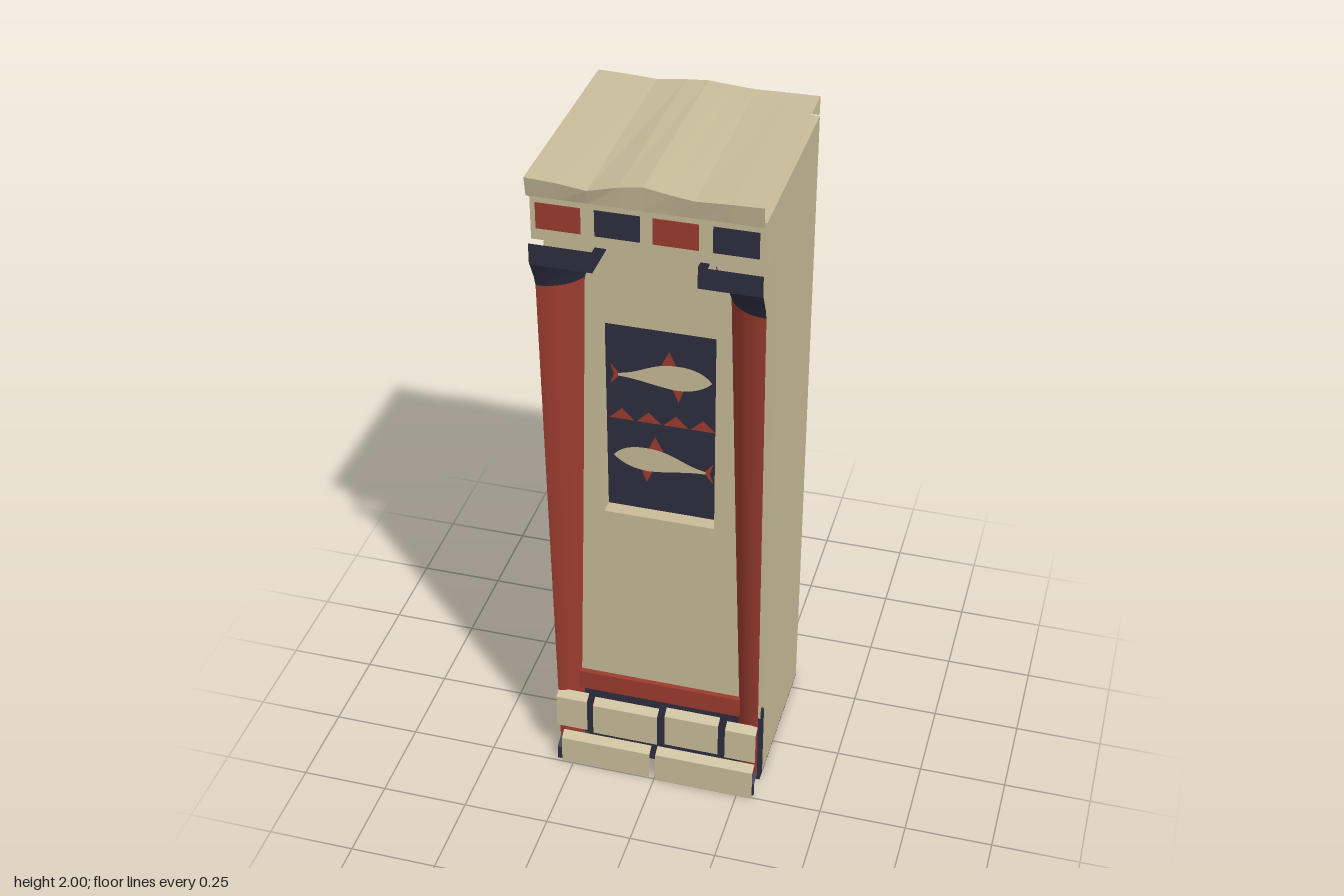
import * as THREE from 'three';

const mat = (name, color) => new THREE.MeshStandardMaterial({ name, color, side: THREE.DoubleSide });

export function createModel() {
  const plaster = mat('plaster', 0xc8bc99);
  const red = mat('red paint', 0x9c3c2e);
  const dark = mat('dark blue', 0x2e2d3f);
  const model = new THREE.Group();
  model.name = 'wallSection';

  const add = (name, geometry, material, parent = model) => {
    const mesh = new THREE.Mesh(geometry, material);
    mesh.name = name;
    parent.add(mesh);
    return mesh;
  };
  // box given by its limits
  const box = (name, material, x0, x1, y0, y1, z0, z1, parent) => {
    const g = new THREE.BoxGeometry(x1 - x0, y1 - y0, z1 - z0);
    g.translate((x0 + x1) / 2, (y0 + y1) / 2, (z0 + z1) / 2);
    return add(name, g, material, parent);
  };
  const polygon = (pts) => new THREE.Shape(pts.map(([x, y]) => new THREE.Vector2(x, y)));
  const rect = (x0, x1, y0, y1) => polygon([[x0, y0], [x1, y0], [x1, y1], [x0, y1]]);
  const flat = (name, shape, material, z, parent) => {
    const g = new THREE.ShapeGeometry(shape, 10);
    g.translate(0, 0, z);
    return add(name, g, material, parent);
  };
  // grid of quads joining rows of [x, y, z] points, with flat faces
  const sheet = (rows) => {
    const n = rows[0].length, index = [];
    for (let r = 0; r < rows.length - 1; r++) {
      for (let i = 0; i < n - 1; i++) {
        const a = r * n + i, b = a + n;
        index.push(a, b, a + 1, b, b + 1, a + 1);
      }
    }
    const g = new THREE.BufferGeometry();
    g.setAttribute('position', new THREE.Float32BufferAttribute(rows.flat(2), 3));
    g.setIndex(index);
    const out = g.toNonIndexed();
    out.computeVertexNormals();
    return out;
  };

  // wall core, lintel and dark footing
  box('wallCore', plaster, -0.3, 0.3, 0.003, 1.93, -0.31, 0.137);
  box('lintel', plaster, -0.3, 0.3, 1.795, 1.93, 0.137, 0.27);
  box('footingUnderside', dark, -0.3, 0.3, 0, 0.003, -0.31, 0.137);
  box('mortar', dark, -0.3, 0.3, 0, 0.255, 0.137, 0.17);

  // lintel squares
  [-0.228, -0.076, 0.073, 0.225].forEach((x, i) =>
    box('lintelSquare', i % 2 ? dark : red, x - 0.058, x + 0.058, 1.828, 1.9, 0.268, 0.273));

  // wavy roof sheet with front and back skirts
  const wave = [[-0.3, 0], [-0.22, -0.004], [-0.14, -0.013], [-0.06, 0.006], [0, 0.015],
    [0.07, 0.004], [0.13, -0.003], [0.22, 0.001], [0.3, 0.003]];
  const roofRow = (z, y, amount, bend) =>
    wave.map(([x, w]) => [x, y + w * amount, z - w * bend]);
  add('roof', sheet([
    roofRow(-0.305, 1.935, 0, 0),
    roofRow(-0.31, 1.985, 0.5, 0),
    roofRow(0.306, 1.985, 1, 0.15),
    roofRow(0.296, 1.93, 0, 0),
  ]), plaster);

  // front panel with a niche
  const niche = () => rect(-0.155, 0.155, 0.91, 1.52);
  const panel = rect(-0.3, 0.3, 0.25, 1.8);
  panel.holes.push(niche());
  flat('frontPanel', panel, plaster, 0.18);
  const reveal = rect(-0.16, 0.16, 0.905, 1.525);
  reveal.holes.push(niche());
  const revealGeo = new THREE.ExtrudeGeometry(reveal, { depth: 0.042, bevelEnabled: false });
  revealGeo.translate(0, 0, 0.138);
  add('nicheReveal', revealGeo, plaster);
  flat('nichePicture', niche(), dark, 0.14);

  // painted fish, the lower one mirrored
  const addFish = (side, y) => {
    const fish = new THREE.Group();
    fish.name = 'fish';
    fish.position.y = y;
    fish.scale.x = side;
    const body = new THREE.Shape();
    body.moveTo(-0.12, -0.008);
    body.bezierCurveTo(-0.05, 0.005, -0.03, 0.04, 0.045, 0.04);
    body.quadraticCurveTo(0.11, 0.04, 0.136, 0.002);
    body.quadraticCurveTo(0.1, -0.036, 0.035, -0.036);
    body.bezierCurveTo(-0.03, -0.03, -0.06, -0.018, -0.12, -0.016);
    flat('fishBody', body, plaster, 0.144, fish);
    flat('tailFin', polygon([[-0.114, -0.012], [-0.143, 0.022], [-0.132, -0.012], [-0.143, -0.046]]), red, 0.143, fish);
    flat('topFin', polygon([[-0.005, 0.03], [0.04, 0.035], [0.02, 0.08]]), red, 0.143, fish);
    flat('lowerFin', polygon([[0.025, -0.03], [0.06, -0.03], [0.045, -0.075]]), red, 0.143, fish);
    model.add(fish);
  };
  addFish(1, 1.354);
  addFish(-1, 1.077);

  // wave crests between the fish
  for (let i = 0; i < 4; i++) {
    const x = -0.112 + i * 0.075;
    flat('waveCrest', polygon([[x - 0.035, 1.2], [x + 0.035, 1.2], [x, 1.234]]), red, 0.143);
  }

  box('sill', red, -0.24, 0.24, 0.257, 0.32, 0.15, 0.195);

  // quarter columns widening upward, open at the outer ends
  for (const side of [-1, 1]) {
    const column = new THREE.Group();
    column.name = side > 0 ? 'leftColumn' : 'rightColumn';
    column.position.set(side * 0.3, 0, 0.137);
    column.scale.x = -side;
    const quarter = (name, pts, material) => add(name, new THREE.LatheGeometry(
      pts.map(([r, y]) => new THREE.Vector2(r, y)), 10, 0, Math.PI / 2), material, column);
    quarter('columnShaft', [[0.07, 0.05], [0.116, 1.65]], red);
    quarter('columnBase', [[0.103, 0], [0.103, 0.045]], dark);
    quarter('columnBaseTop', [[0.103, 0.045], [0.07, 0.062]], dark);
    quarter('capital', [[0.116, 1.65], [0.126, 1.68], [0.155, 1.735]], dark);
    add('abacus', sheet([
      [[0, 1.795, 0.158], [0.165, 1.795, 0.158], [0.165, 1.795, 0]],
      [[0, 1.735, 0.158], [0.165, 1.735, 0.158], [0.165, 1.735, 0]],
    ]), dark, column);
    model.add(column);
  }

  // stone facing: [x0, x1, bottom, top, front z]
  const stones = [
    [-0.3, -0.207, 0.13, 0.25, 0.232], [-0.187, 0.007, 0.13, 0.247, 0.238],
    [0.027, 0.187, 0.13, 0.25, 0.23], [0.209, 0.3, 0.13, 0.247, 0.236],
    [-0.285, -0.016, 0, 0.1, 0.243], [0.004, 0.296, 0, 0.11, 0.25],
  ];
  for (const [x0, x1, y0, y1, z] of stones) {
    add('stone', sheet([[y1, z - 0.025], [y1 - 0.014, z], [y0, z + 0.003]]
      .map(([y, d]) => [[x0, y, d], [x1, y, d]])), plaster);
  }
  return model;
}
